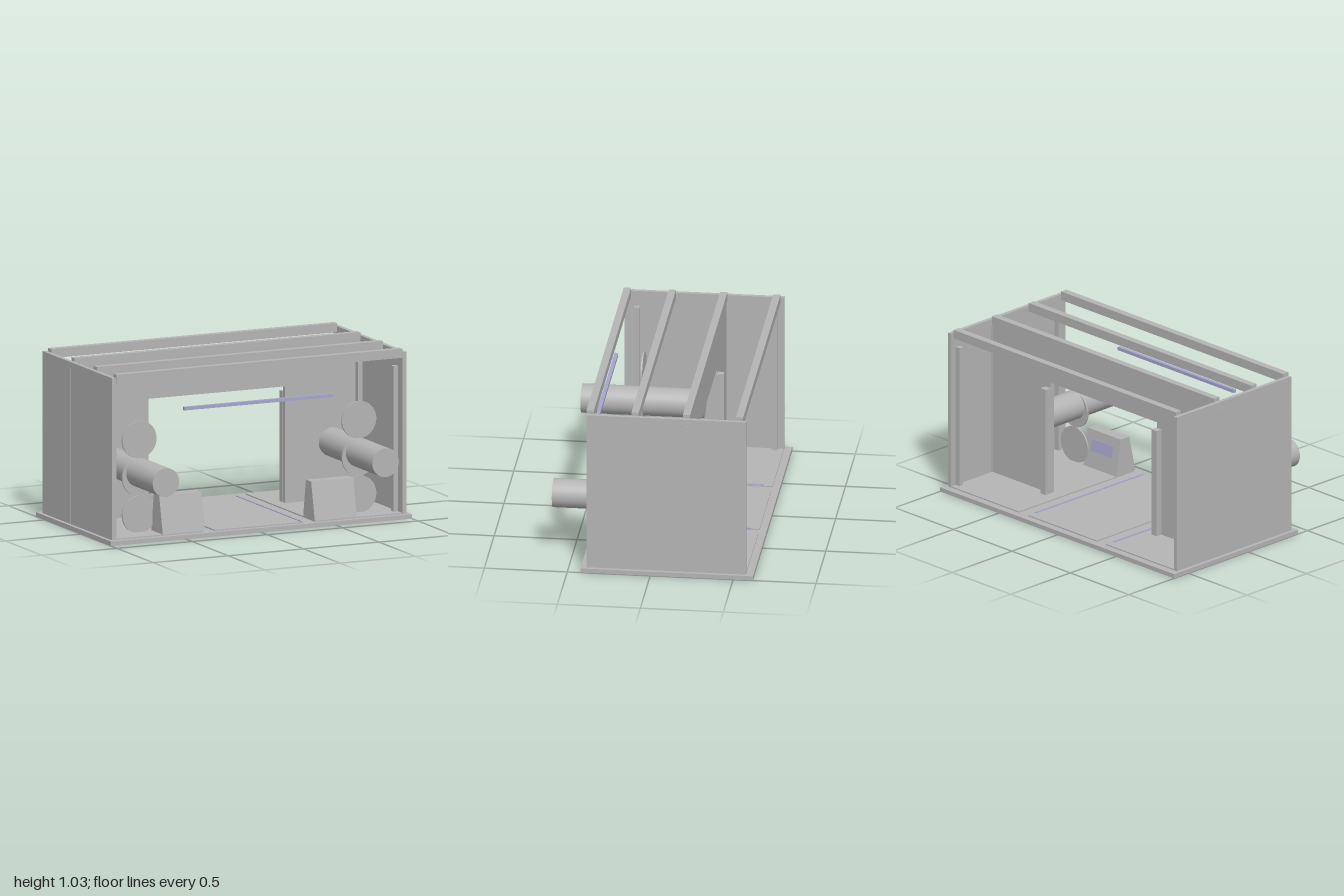
import * as THREE from 'three';

export function createModel() {
  const root = new THREE.Group();
  const grey = new THREE.MeshStandardMaterial({ color: 0xb4b4b4 });
  grey.name = 'panelGrey';
  const violet = new THREE.MeshStandardMaterial({ color: 0xa6a6cc });
  violet.name = 'paleViolet';

  const add = (name, geometry, material = grey) => {
    const mesh = new THREE.Mesh(geometry, material);
    mesh.name = name;
    root.add(mesh);
    return mesh;
  };
  // Box given by its minimum and maximum on each axis
  const box = (name, x0, x1, y0, y1, z0, z1, material) => {
    const mesh = add(name, new THREE.BoxGeometry(x1 - x0, y1 - y0, z1 - z0), material);
    mesh.position.set((x0 + x1) / 2, (y0 + y1) / 2, (z0 + z1) / 2);
    return mesh;
  };
  // Same box on the left (s = 1) or mirrored to the right (s = -1)
  const sideBox = (s, name, x0, x1, ...rest) =>
    s > 0 ? box(name, x0, x1, ...rest) : box(name, -x1, -x0, ...rest);

  // Floor slab, raised panels and the strips between them
  box('baseSlab', -1, 1, 0, 0.027, -0.62, 0.42);
  box('centreFloorPanel', -0.295, 0.29, 0.027, 0.034, -0.575, 0.385);
  box('floorStrip', -0.39, -0.378, 0.027, 0.038, -0.52, 0.38, violet);
  box('floorStrip', 0.28, 0.292, 0.027, 0.038, -0.52, 0.38, violet);

  // Roof beams
  for (const z of [-0.533, -0.213, 0.097, 0.368]) {
    box('roofBeam', -0.95, 0.95, 0.98, 1.035, z - 0.022, z + 0.022);
  }

  // Header above the opening and the hanging bar
  box('openingHeader', -0.455, 0.455, 0.745, 0.98, -0.23, -0.2);
  box('hangingBar', -0.5, 0.49, 0.78, 0.8, 0.37, 0.392, violet);

  for (const s of [1, -1]) {
    sideBox(s, 'sideFloorPanel', 0.372, 0.95, 0.027, 0.034, -0.575, 0.385);
    sideBox(s, 'sideWall', 0.952, 0.977, 0.027, 1.015, -0.575, 0.387);
    sideBox(s, 'wallStrip', 0.95, 0.98, 0.03, 0.975, -0.235, -0.19);

    // Rear partition with its upright beside the opening
    sideBox(s, 'partition', 0.455, 0.952, 0.027, 0.98, -0.23, -0.2);
    sideBox(s, 'openingPost', 0.452, 0.495, 0.027, 0.71, -0.272, -0.23);
    for (const z of [0.31, -0.18, -0.52]) {
      sideBox(s, 'wallPost', 0.92, 0.952, 0.027, 0.92, z - 0.016, z + 0.016);
    }

    // Long horizontal cylinder and the stack of discs
    const tube = add('longCylinder', new THREE.CylinderGeometry(0.088, 0.088, 0.74, 32));
    tube.rotation.x = Math.PI / 2;
    tube.position.set(s * 0.73, 0.398, 0.245);
    for (const y of [0.142, 0.37, 0.597]) {
      const disc = add('disc', new THREE.CylinderGeometry(0.114, 0.114, 0.01, 40));
      disc.rotation.x = Math.PI / 2;
      disc.position.set(s * 0.73, y, 0.245);
    }

    // Floor cabinet: sloped front and back, extruded across its width
    const profile = new THREE.Shape([
      [0.235, 0.036], [0.395, 0.036], [0.345, 0.266], [0.272, 0.266],
    ].map(([z, y]) => new THREE.Vector2(-z, y)));
    const cabinet = add('floorCabinet', new THREE.ExtrudeGeometry(profile, { depth: 0.28, bevelEnabled: false }));
    cabinet.rotation.y = Math.PI / 2;
    cabinet.position.x = s * 0.505 - 0.14;

    // Thin panel on the cabinet's rear slope
    const screen = add('cabinetScreen', new THREE.BoxGeometry(0.18, 0.075, 0.008), violet);
    screen.position.set(s * 0.505, 0.175, 0.256);
    screen.rotation.x = Math.atan2(0.037, 0.23);
  }
  return root;
}
